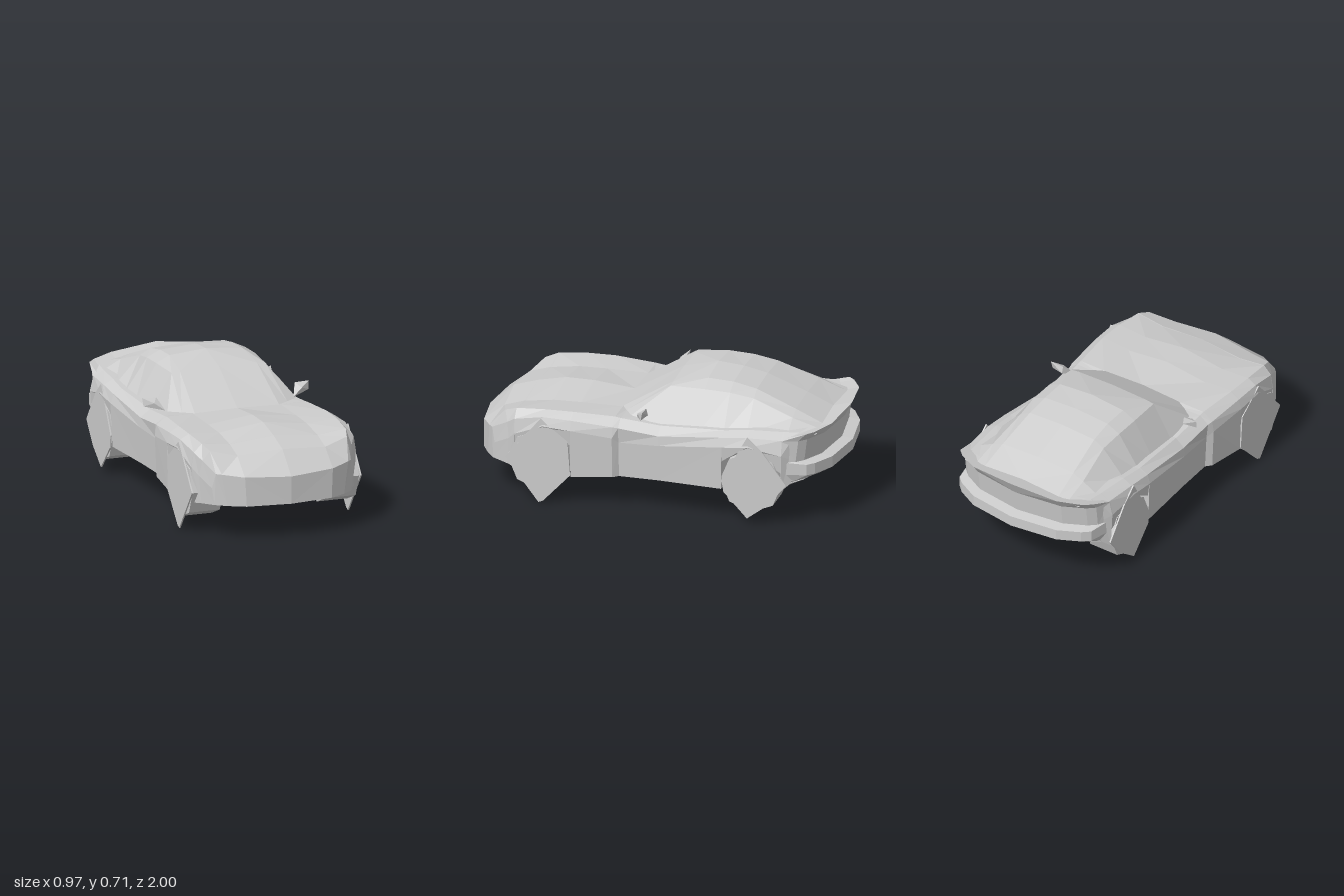
import * as THREE from 'three';
import { ConvexGeometry } from 'three/addons/geometries/ConvexGeometry.js';

const paint = new THREE.MeshStandardMaterial({ color: 0xcccccc, flatShading: true, side: THREE.DoubleSide });
paint.name = 'greyPaint';

function part(name, geometry) {
  const mesh = new THREE.Mesh(geometry, paint);
  mesh.name = name;
  return mesh;
}

// Skin over half sections (each ending on the centre line), mirrored in x.
// capFront closes the first section with vertical strips.
function skin(rows, capFront = false) {
  const pos = [];
  const tri = (a, b, c) => {
    pos.push(...a, ...b, ...c);
    const m = ([x, y, z]) => [-x, y, z];
    pos.push(...m(a), ...m(c), ...m(b));
  };
  const quad = (a, b, c, d) => { tri(a, b, c); tri(a, c, d); };
  for (let r = 0; r + 1 < rows.length; r++) {
    for (let i = 0; i + 1 < rows[r].length; i++) {
      quad(rows[r][i], rows[r + 1][i], rows[r + 1][i + 1], rows[r][i + 1]);
    }
  }
  if (capFront) {
    const p = rows[0], n = p.length - 1;
    for (let i = 0; i < n / 2; i++) quad(p[i], p[i + 1], p[n - i - 1], p[n - i]);
  }
  const g = new THREE.BufferGeometry();
  g.setAttribute('position', new THREE.Float32BufferAttribute(pos, 3));
  g.computeVertexNormals();
  return g;
}

// How far the rounded nose and tail fall back towards the sides.
function bend(x) {
  const k = [[0, 0], [0.24, 0.03], [0.37, 0.1], [0.43, 0.17], [0.5, 0.3]];
  for (let i = 1; i < k.length; i++) {
    if (x <= k[i][0]) {
      const t = (x - k[i - 1][0]) / (k[i][0] - k[i - 1][0]);
      return k[i - 1][1] + t * (k[i][1] - k[i - 1][1]);
    }
  }
  return 0.3;
}

// z, bend, floor y, arch y (0 = none), belt x y, shoulder x y, deck edge x y, mid y, centre y
const frontRows = [
  [1.0, 1, 0.19, 0, 0.4, 0.28, 0.385, 0.362, 0.36, 0.362, 0.35, 0.34],
  [0.87, 0.5, 0.18, 0, 0.44, 0.33, 0.425, 0.415, 0.39, 0.47, 0.44, 0.457],
  [0.74, 0, 0.175, 0, 0.468, 0.37, 0.455, 0.45, 0.41, 0.495, 0.475, 0.497],
  [0.735, 0, 0.175, 0.3, 0.468, 0.37, 0.455, 0.45, 0.41, 0.495, 0.475, 0.498],
  [0.58, 0, 0.165, 0.42, 0.487, 0.435, 0.47, 0.482, 0.42, 0.508, 0.497, 0.531],
  [0.43, 0, 0.16, 0.34, 0.487, 0.425, 0.47, 0.478, 0.42, 0.51, 0.5, 0.53],
  [0.425, 0, 0.16, 0, 0.487, 0.425, 0.47, 0.478, 0.42, 0.51, 0.5, 0.53],
  [0.2, 0, 0.175, 0, 0.468, 0.4, 0.458, 0.46, 0.4, 0.5, 0.5, 0.507],
];
const rearRows = [
  [0.17, 0, 0.175, 0, 0.442, 0.37, 0.452, 0.455, 0.4, 0.495, 0.49, 0.49],
  [-0.05, 0, 0.18, 0, 0.457, 0.38, 0.452, 0.433, 0.4, 0.475, 0.48, 0.48],
  [-0.405, 0, 0.18, 0, 0.484, 0.42, 0.468, 0.47, 0.42, 0.495, 0.5, 0.5],
  [-0.41, 0, 0.18, 0.34, 0.484, 0.42, 0.468, 0.47, 0.42, 0.495, 0.5, 0.5],
  [-0.55, 0, 0.18, 0.42, 0.487, 0.435, 0.468, 0.483, 0.415, 0.51, 0.51, 0.51],
  [-0.73, 0, 0.2, 0.3, 0.475, 0.4, 0.455, 0.482, 0.4, 0.512, 0.52, 0.52],
  [-0.735, 0, 0.2, 0, 0.475, 0.4, 0.455, 0.482, 0.4, 0.512, 0.52, 0.52],
  [-0.89, -0.6, 0.24, 0, 0.445, 0.38, 0.435, 0.48, 0.39, 0.515, 0.523, 0.525],
];

// Turns one row into a half section from floor centre up to deck centre.
function bodySection([z, w, yb, ya, bx, by, sx, sy, dx, dy, my, cy]) {
  const xs = bx - 0.01, xf = 0.62 * xs;
  const well = ya ? [xf, ya] : [0.85 * xs, yb];
  return [[0, yb], [xf, yb], well, [xs, ya || yb], [bx, by], [sx, sy], [dx, dy], [0.25, my], [0, cy]]
    .map(([x, y]) => [x, y, z - w * bend(x)]);
}

// Rear end: raised lip, recessed panel, bumper and undertray.
function tail() {
  const path = [[0.523, -0.87], [0.557, -0.995], [0.48, -0.955], [0.36, -0.94],
    [0.35, -1], [0.29, -1], [0.25, -0.93], [0.2, -0.72]];
  return path.map(([y, z]) => {
    const across = [0.43, 0.39, 0.27, 0].map((x) =>
      [x, y - (y > 0.5 ? 0.08 * x : 0), Math.min(z + 0.8 * bend(x), -0.7)]);
    return [[0.457, Math.min(y, 0.48), -0.735], ...across];
  });
}

// Cabin: z, base x y, window top x y, roof x y, centre y
const cabinRows = [
  [-0.07, 0.385, 0.465, 0.268, 0.655, 0.22, 0.661, 0.668],
  [-0.26, 0.4, 0.46, 0.28, 0.66, 0.205, 0.697, 0.715],
  [-0.4, 0.41, 0.47, 0.28, 0.655, 0.205, 0.69, 0.703],
  [-0.53, 0.41, 0.485, 0.27, 0.632, 0.21, 0.665, 0.675],
  [-0.75, 0.4, 0.5, 0.295, 0.555, 0.23, 0.582, 0.592],
  [-0.9, 0.37, 0.505, 0.3, 0.512, 0.24, 0.52, 0.525],
];
const cabinSection = ([z, bx, by, tx, ty, rx, ry, cy]) =>
  [[bx, by, z], [tx, ty, z], [rx, ry, z], [0, cy, z]];

// Flat many-cornered plate in the z-y plane, facing outwards.
function sidePlate(points, x) {
  const shape = new THREE.Shape(points.map(([z, y]) => new THREE.Vector2(-z, y)));
  const g = new THREE.ExtrudeGeometry(shape, { depth: 0.008, bevelEnabled: false });
  return g.rotateY(Math.PI / 2).translate(x, 0, 0);
}

const plates = {
  front: [[0.785, 0.24], [0.59, 0.475], [0.44, 0.36], [0.425, 0.17], [0.575, 0.01], [0.6, 0]],
  rear: [[-0.41, 0.24], [-0.55, 0.49], [-0.63, 0.42], [-0.765, 0.24], [-0.67, 0.12], [-0.55, 0.03], [-0.42, 0.17]],
};

export function createModel() {
  const car = new THREE.Group();
  car.name = 'car';

  car.add(part('body', skin([...frontRows, ...rearRows].map(bodySection), true)));
  car.add(part('tail', skin(tail())));

  // Windscreen base is curved, the rest of the cabin uses plain sections
  const screenBase = [[0.365, 0.503, 0.12], [0.3, 0.503, 0.165], [0.24, 0.501, 0.2], [0, 0.508, 0.205]];
  car.add(part('cabin', skin([screenBase, ...cabinRows.map(cabinSection)])));

  for (const side of [1, -1]) {
    const label = side > 0 ? 'left' : 'right';

    // Door mirror
    const corners = [[0.365, 0.5, 0.09], [0.395, 0.562, 0.03], [0.475, 0.565, 0.03],
      [0.47, 0.52, 0.04], [0.395, 0.525, 0.02], [0.42, 0.54, 0.07]];
    car.add(part(label + 'Mirror', new ConvexGeometry(
      corners.map(([x, y, z]) => new THREE.Vector3(side * x, y, z)))));

    // Wheels: eight-sided tread with an angular outer plate
    for (const [end, z] of [['front', 0.6], ['rear', -0.57]]) {
      const wheel = new THREE.Group();
      wheel.name = label + end[0].toUpperCase() + end.slice(1) + 'Wheel';
      const tread = new THREE.CylinderGeometry(0.17, 0.17, 0.175, 8)
        .rotateZ(Math.PI / 2).translate(side * 0.387, 0.235, z);
      wheel.add(part('tread', tread));
      wheel.add(part('wheelPlate', sidePlate(plates[end], side > 0 ? 0.476 : -0.484)));
      car.add(wheel);
    }
  }
  return car;
}
